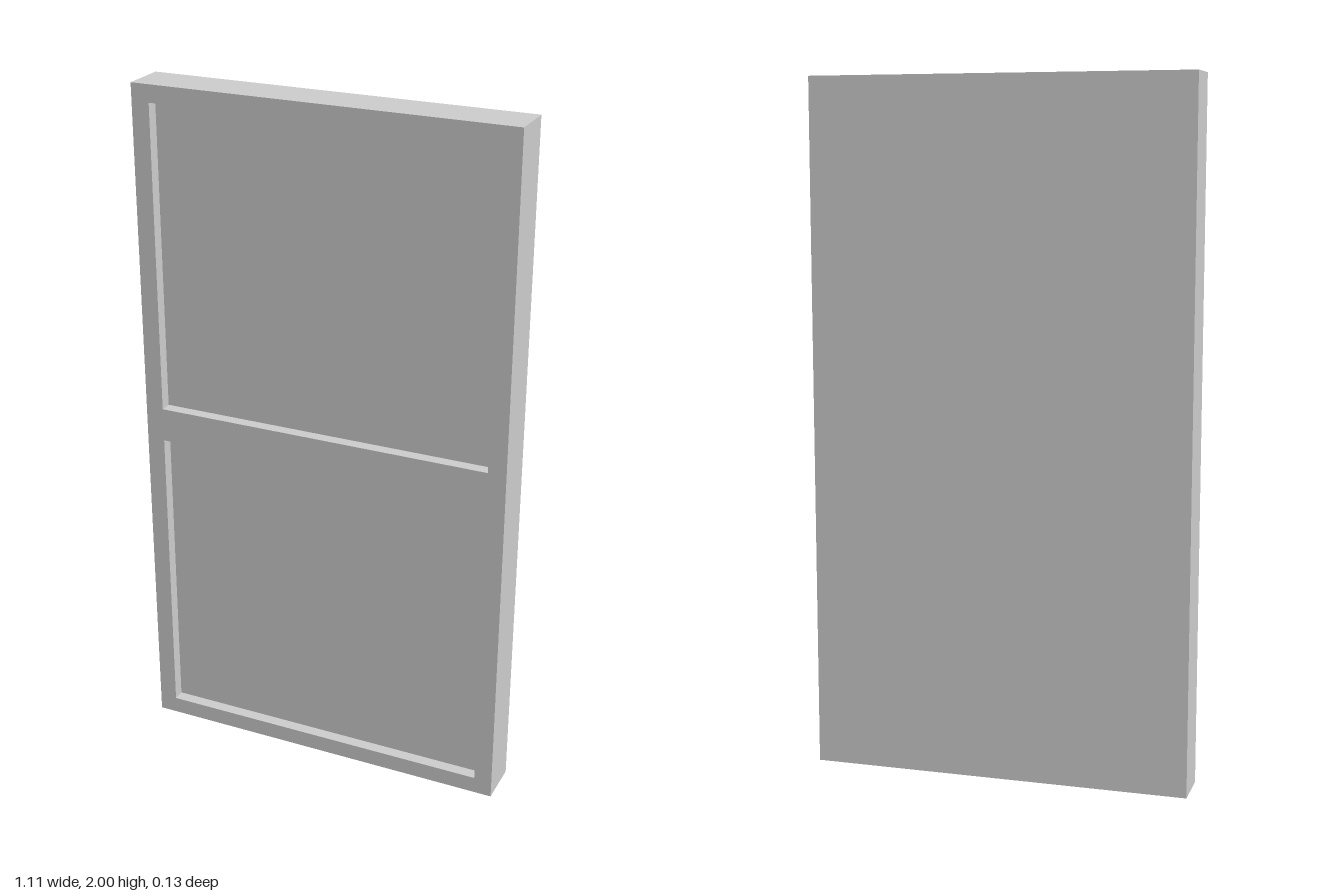
import * as THREE from 'three';

const WIDTH = 1.106, HEIGHT = 2, DEPTH = 0.134;
const RECESS = 0.035;                 // depth of the sunken panels
const OPENING_W = 1.0, OPENING_H = 0.9, RAIL = 0.05;

// Adds a rectangle outline centred on x = 0 to a shape or path
function rect(path, w, y0, y1) {
  path.moveTo(-w / 2, y0);
  path.lineTo(w / 2, y0);
  path.lineTo(w / 2, y1);
  path.lineTo(-w / 2, y1);
  path.closePath();
  return path;
}

export function createModel() {
  const group = new THREE.Group();
  group.name = 'panel';
  const material = new THREE.MeshStandardMaterial({ color: 0xcccccc });

  // Solid back board, whose front shows as the two sunken panels
  const boardDepth = DEPTH - RECESS;
  const board = new THREE.Mesh(new THREE.BoxGeometry(WIDTH, HEIGHT, boardDepth), material);
  board.name = 'backBoard';
  board.position.set(0, HEIGHT / 2, -DEPTH / 2 + boardDepth / 2);
  group.add(board);

  // Front frame with two openings and a middle rail
  const outline = rect(new THREE.Shape(), WIDTH, 0, HEIGHT);
  for (const y of [RAIL, HEIGHT / 2 + RAIL]) {
    outline.holes.push(rect(new THREE.Path(), OPENING_W, y, y + OPENING_H));
  }
  const frame = new THREE.Mesh(
    new THREE.ExtrudeGeometry(outline, { depth: RECESS, bevelEnabled: false }), material);
  frame.name = 'frontFrame';
  frame.position.z = DEPTH / 2 - RECESS;
  group.add(frame);

  return group;
}
